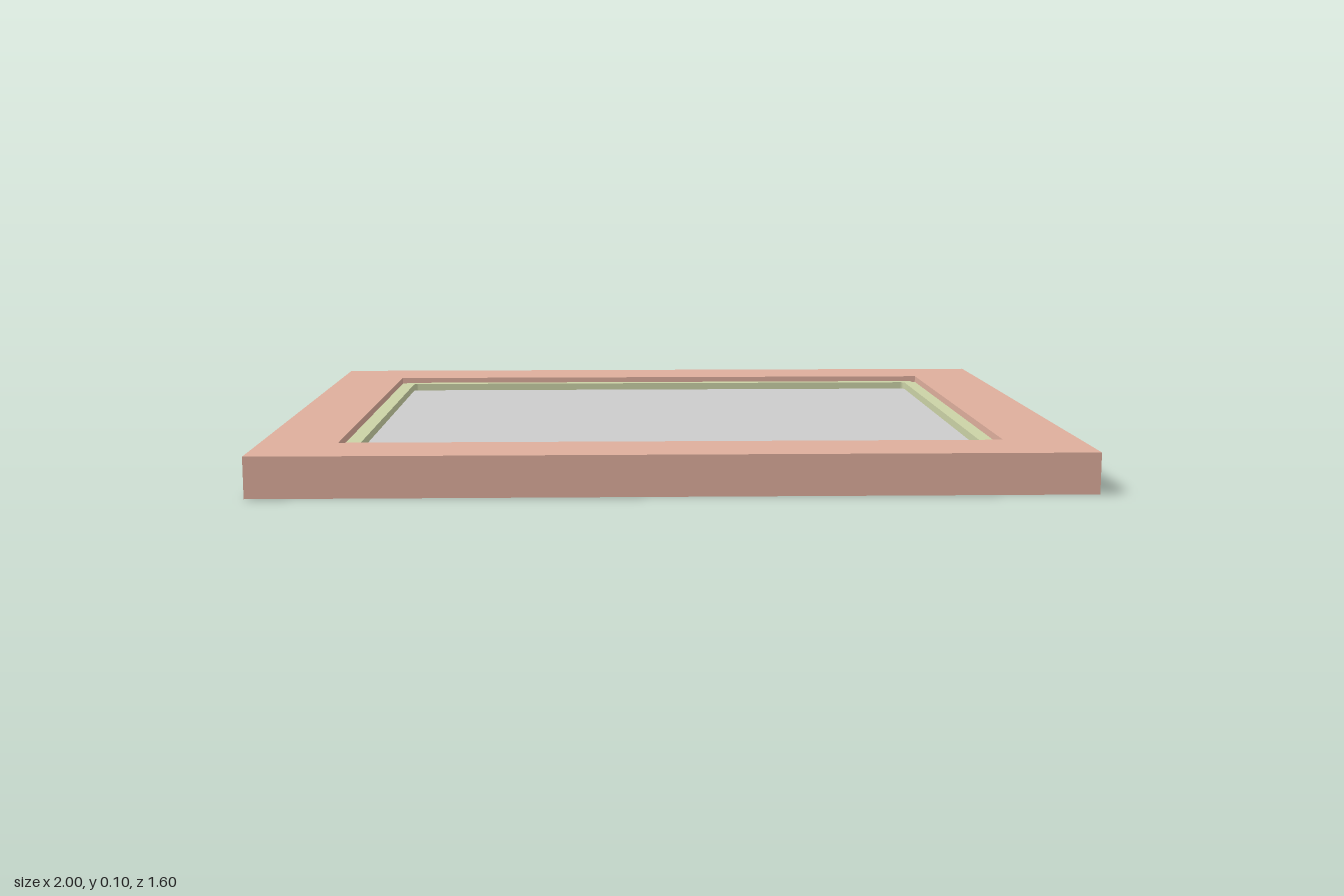
import * as THREE from 'three';

// Rectangle outline with half sizes w, h and optional corner radius r
function outline(path, w, h, r = 0) {
  if (r === 0) {
    path.moveTo(-w, -h).lineTo(w, -h).lineTo(w, h).lineTo(-w, h).closePath();
    return path;
  }
  path.moveTo(-w + r, -h);
  path.absarc(w - r, -h + r, r, -Math.PI / 2, 0);
  path.absarc(w - r, h - r, r, 0, Math.PI / 2);
  path.absarc(-w + r, h - r, r, Math.PI / 2, Math.PI);
  path.absarc(-w + r, -h + r, r, Math.PI, Math.PI * 1.5);
  path.closePath();
  return path;
}

// Flat rectangular ring lying between heights y0 and y1
function ring(name, outer, inner, y0, y1, material) {
  const shape = outline(new THREE.Shape(), ...outer);
  shape.holes.push(outline(new THREE.Path(), ...inner));
  const geometry = new THREE.ExtrudeGeometry(shape, {
    depth: y1 - y0, bevelEnabled: false, curveSegments: 5,
  });
  geometry.rotateX(-Math.PI / 2).translate(0, y0, 0);
  const mesh = new THREE.Mesh(geometry, material);
  mesh.name = name;
  return mesh;
}

export function createModel() {
  const group = new THREE.Group();
  group.name = 'framedPanel';
  const frameMaterial = new THREE.MeshStandardMaterial({ color: 0xdeae9c });
  const linerMaterial = new THREE.MeshStandardMaterial({ color: 0xcbd2a6 });
  const panelMaterial = new THREE.MeshStandardMaterial({ color: 0xc6cac9 });

  // Broad outer frame, open at top and bottom
  group.add(ring('frame', [1, 0.8], [0.81, 0.612], 0, 0.1, frameMaterial));

  // Stepped liner with a slightly rounded window
  const window = [0.768, 0.566, 0.012];
  group.add(ring('linerBase', [0.81, 0.612], window, 0.066, 0.082, linerMaterial));
  group.add(ring('linerTop', [0.793, 0.595], window, 0.082, 0.087, linerMaterial));

  // Recessed panel filling the frame opening beneath the liner
  const panel = new THREE.Mesh(new THREE.BoxGeometry(1.62, 0.038, 1.224), panelMaterial);
  panel.name = 'panel';
  panel.position.y = 0.048;
  group.add(panel);

  return group;
}
